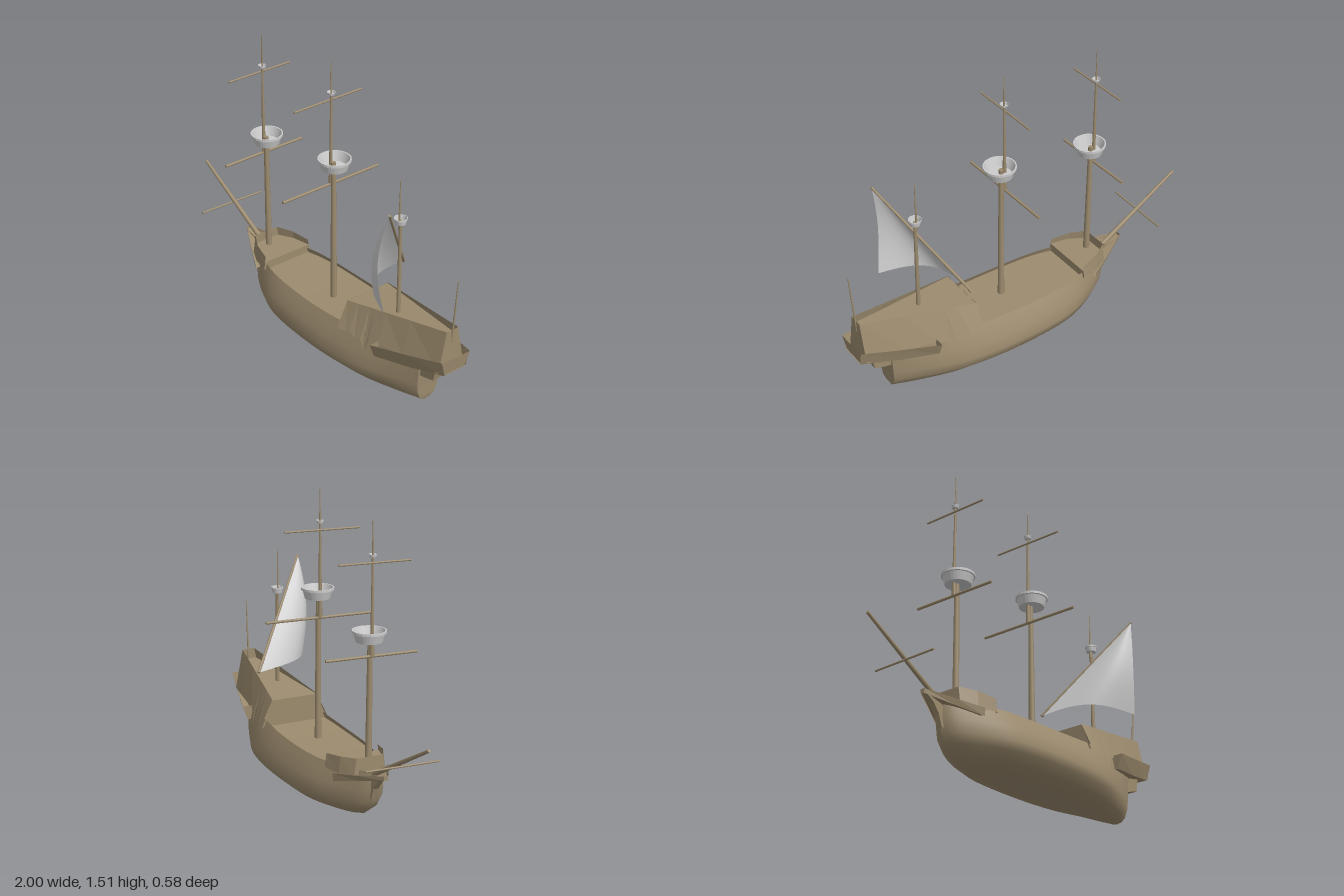
import * as THREE from 'three';

const wood = new THREE.MeshStandardMaterial({ color: 0x9c8b6e, side: THREE.DoubleSide });
const grey = new THREE.MeshStandardMaterial({ color: 0xcccccc, side: THREE.DoubleSide });
const V = (x, y, z) => new THREE.Vector3(x, y, z);

function add(parent, name, geometry, material = wood) {
  const mesh = new THREE.Mesh(geometry, material);
  mesh.name = name;
  parent.add(mesh);
  return mesh;
}

// Surface through rows of points; flat gives hard edges
function loft(rows, flat = false) {
  const n = rows[0].length, index = [];
  for (let i = 0; i < rows.length - 1; i++)
    for (let j = 0; j < n - 1; j++) {
      const a = i * n + j, c = a + n;
      index.push(a, c, a + 1, a + 1, c, c + 1);
    }
  let g = new THREE.BufferGeometry().setFromPoints(rows.flat());
  g.setIndex(index);
  if (flat) g = g.toNonIndexed();
  g.computeVertexNormals();
  return g;
}

// Mirrored walls from stations [x, topY, topHalf, bottomY, bottomHalf]
function sideWalls(parent, name, st) {
  add(parent, name + 'Right', loft(st.map(([x, ty, th, by, bh]) => [V(x, ty, -th), V(x, by, -bh)]), true));
  add(parent, name + 'Left', loft(st.map(([x, ty, th, by, bh]) => [V(x, by, bh), V(x, ty, th)]), true));
}

// Floor from stations [x, y, half]
const floor = (st) => loft(st.map(([x, y, h]) => [V(x, y, h), V(x, y, -h)]), true);

// Upright panel across the ship
const panel = (x, ty, th, by, bh, x2 = x) =>
  loft([[V(x, ty, th), V(x, ty, -th)], [V(x2, by, bh), V(x2, by, -bh)]], true);

// Tapered round pole between two points
function spar(parent, name, a, b, r0, r1) {
  const m = add(parent, name, new THREE.CylinderGeometry(r1, r0, a.distanceTo(b), 12));
  m.position.copy(a).add(b).multiplyScalar(0.5);
  m.quaternion.setFromUnitVectors(V(0, 1, 0), b.clone().sub(a).normalize());
}

// Open bowl on a mast
function bowl(parent, name, x, y, r, h) {
  const p = [[0, 0], [0.78, 0], [0.92, 0.75], [1, 0.78], [1, 1], [0.92, 1], [0.72, 0.15], [0, 0.15]];
  const g = new THREE.LatheGeometry(p.map(([a, b]) => new THREE.Vector2(a * r, b * h)), 28).toNonIndexed();
  g.computeVertexNormals();
  add(parent, name, g, grey).position.set(x, y, 0);
}

// Plate in the side plane, given depth across the ship
function plate(points, depth) {
  const g = new THREE.ExtrudeGeometry(new THREE.Shape(points.map(([x, y]) => new THREE.Vector2(x, y))),
    { depth, bevelEnabled: false });
  return g.translate(0, 0, -depth / 2);
}

// Waterlines: height, half breadth, bow x, stern x, half breadth at stern
const levels = [
  [0, 0, -0.28, 0.80, 0], [0.006, 0.1, -0.36, 0.805, 0.025], [0.025, 0.17, -0.42, 0.81, 0.045],
  [0.065, 0.216, -0.475, 0.81, 0.062], [0.11, 0.226, -0.505, 0.813, 0.066], [0.17, 0.212, -0.52, 0.817, 0.066],
  [0.225, 0.187, -0.525, 0.823, 0.066], [0.262, 0.168, -0.53, 0.83, 0.068],
];
const plan = new THREE.SplineCurve([[0, 0], [0.03, 0.27], [0.1, 0.55], [0.2, 0.82], [0.3, 0.95], [0.45, 1],
  [0.6, 0.98], [0.75, 0.86], [0.9, 0.55], [1, 0.29]].map(([u, w]) => new THREE.Vector2(u, w))).getPoints(45);
const sheer = (x) => (x > 0 ? 0.11 : 0.04) * x * x;

function hullPoint([y, w, bow, stern, ws], p, side) {
  const x = bow + (stern - bow) * p.x;
  const blend = Math.max(0, (p.x - 0.6) / 0.4);
  const half = Math.max(0, w * p.y + (ws - w * 0.29) * blend * blend);
  return V(x, y + sheer(x) * (y / 0.262) ** 2, side * half);
}

function buildHull(ship) {
  const rows = plan.map((p) => [
    ...levels.slice().reverse().map((l) => hullPoint(l, p, -1)),
    ...levels.slice(1).map((l) => hullPoint(l, p, 1)),
  ]);
  add(ship, 'hull', loft(rows));
  const end = rows[rows.length - 1];
  add(ship, 'transom', loft([end, end.map((v) => V(v.x, v.y, 0))]));
  add(ship, 'deck', floor(plan.map((p) => {
    const v = hullPoint(levels[6], p, 1);
    return [v.x, v.y + 0.008, v.z * 0.97];
  })));
  add(ship, 'sternBracket', plate([[0.78, 0.17], [0.83, 0.17], [0.905, 0.19], [0.92, 0.27], [0.78, 0.27]], 0.11));
}

function buildBow(ship) {
  // Beakhead rails meeting at the tip
  const rail = [[-0.63, 0.287, 0.012, 0.264, 0.01], [-0.5, 0.258, 0.085, 0.23, 0.075], [-0.37, 0.235, 0.148, 0.197, 0.142]];
  sideWalls(ship, 'beakRail', rail);
  add(ship, 'beakTip', panel(-0.63, 0.287, 0.012, 0.264, 0.01));
  add(ship, 'beakFloor', floor(rail.map(([x, , , y, h]) => [x, y + 0.008, h])));
  add(ship, 'stem', plate([[-0.625, 0.272], [-0.57, 0.235], [-0.535, 0.19], [-0.515, 0.13], [-0.47, 0.15], [-0.45, 0.245]], 0.03));
  // Forecastle
  const walls = [[-0.47, 0.33, 0.07, 0.235, 0.085], [-0.39, 0.322, 0.115, 0.235, 0.125], [-0.29, 0.31, 0.138, 0.24, 0.148]];
  sideWalls(ship, 'forecastleWall', walls);
  add(ship, 'forecastleFront', panel(-0.47, 0.33, 0.07, 0.235, 0.085));
  add(ship, 'forecastleDeck', floor(walls.map(([x, , h]) => [x, 0.28, h + 0.005])));
  add(ship, 'forecastleBulkhead', panel(-0.29, 0.28, 0.142, 0.235, 0.148));
}

function buildStern(ship) {
  // Aftercastle with a ragged lower edge against the hull
  const lower = [[0.36, 0.25], [0.41, 0.25], [0.43, 0.262], [0.47, 0.24], [0.5, 0.25], [0.53, 0.2], [0.55, 0.25],
    [0.6, 0.27], [0.75, 0.27], [0.96, 0.27]];
  const walls = lower.map(([x, y]) => {
    const t = (x - 0.36) / 0.6;
    return [x, 0.383 + 0.102 * t, 0.127 - 0.092 * t, y, 0.188 - 0.11 * t + 0.3 * (0.25 - y) * (1 - t)];
  });
  sideWalls(ship, 'aftercastleWall', walls);
  add(ship, 'aftercastleFront', panel(0.36, 0.38, 0.127, 0.24, 0.185));
  add(ship, 'aftercastleStern', panel(0.96, 0.485, 0.035, 0.27, 0.078));
  add(ship, 'aftercastleDeck', floor([[0.36, 0.378, 0.129], [0.96, 0.43, 0.045]]));

  // Gallery wrapped around the stern
  const gallery = [[0.605, 0.283, 0.19, 0.208, 0.162], [0.8, 0.315, 0.138, 0.235, 0.115], [0.99, 0.35, 0.085, 0.27, 0.065]];
  sideWalls(ship, 'galleryWall', gallery);
  add(ship, 'galleryStern', panel(0.995, 0.35, 0.085, 0.27, 0.065, 0.985));
  add(ship, 'galleryFloor', floor(gallery.map(([x, , , y, h]) => [x, y + 0.003, h])));
  add(ship, 'galleryFront', panel(0.605, 0.283, 0.19, 0.208, 0.162));
  spar(ship, 'flagpole', V(0.957, 0.42, 0), V(0.98, 0.755, 0), 0.006, 0.0025);
}

// Two-part mast with crow's nest and two yards
function buildMast(g, name, x, nestY, topY, capY, lowYard, lowHalf, highYard, highHalf) {
  const tx = x - 0.028;
  spar(g, name + 'LowerMast', V(x, 0.22, 0), V(x - 0.008, nestY + 0.03, 0), 0.017, 0.012);
  spar(g, name + 'TopmastHeel', V(tx + 0.002, lowYard, 0), V(tx, nestY + 0.02, 0), 0.012, 0.009);
  spar(g, name + 'Topmast', V(tx, nestY, 0), V(tx, capY, 0), 0.009, 0.005);
  spar(g, name + 'Pole', V(tx, capY - 0.02, 0), V(tx, topY, 0), 0.005, 0.0018);
  bowl(g, name + 'CrowsNest', x, nestY, 0.082, 0.055);
  bowl(g, name + 'Cap', tx, capY, 0.02, 0.014);
  spar(g, name + 'LowerYard', V(tx, lowYard - 0.005, lowHalf), V(tx + 0.004, lowYard + 0.005, -lowHalf), 0.007, 0.007);
  spar(g, name + 'UpperYard', V(tx - 0.014, highYard - 0.004, highHalf), V(tx - 0.008, highYard + 0.004, -highHalf + 0.015), 0.005, 0.005);
}

function buildRig(g) {
  buildMast(g, 'fore', -0.427, 0.88, 1.46, 1.285, 0.815, 0.238, 1.26, 0.192);
  buildMast(g, 'main', 0.117, 0.965, 1.51, 1.345, 0.87, 0.29, 1.312, 0.208);
  spar(g, 'bowsprit', V(-0.44, 0.215, -0.018), V(-0.998, 0.53, -0.005), 0.014, 0.008);
  spar(g, 'spritsailYard', V(-0.77, 0.375, 0.185), V(-0.757, 0.38, -0.19), 0.005, 0.005);

  // Mizzen with slanted yard and triangular sail
  spar(g, 'mizzenMast', V(0.605, 0.36, 0), V(0.6, 0.9, 0), 0.011, 0.008);
  spar(g, 'mizzenPole', V(0.592, 0.85, 0), V(0.592, 1.11, 0), 0.006, 0.002);
  bowl(g, 'mizzenNest', 0.6, 0.885, 0.032, 0.03);
  const peak = V(0.72, 1.045, 0.175), tack = V(0.42, 0.52, -0.19), clew = V(0.712, 0.52, 0.185);
  spar(g, 'lateenYard', tack, peak, 0.008, 0.006);
  const rows = [], n = 16;
  for (let i = 0; i <= n; i++) {
    const s = i / n, row = [];
    for (let j = 0; j <= n; j++) {
      const t = j / n;
      const p = peak.clone().lerp(tack.clone().lerp(clew, t), s);
      const belly = 0.1 * Math.sin(Math.PI * t) * s ** 0.8 + 0.042 * Math.sin(Math.PI * s) * t;
      p.add(V(-0.77 * belly, 0.02 * Math.sin(Math.PI * t) * s * s, 0.63 * belly));
      row.push(p);
    }
    rows.push(row);
  }
  add(g, 'lateenSail', loft(rows), grey);
}

export function createModel() {
  const model = new THREE.Group();
  model.name = 'sailingShip';
  const ship = new THREE.Group();
  ship.name = 'shipBody';
  ship.position.z = -0.015;
  buildHull(ship);
  buildBow(ship);
  buildStern(ship);
  const rig = new THREE.Group();
  rig.name = 'rigging';
  buildRig(rig);
  model.add(ship, rig);
  return model;
}
